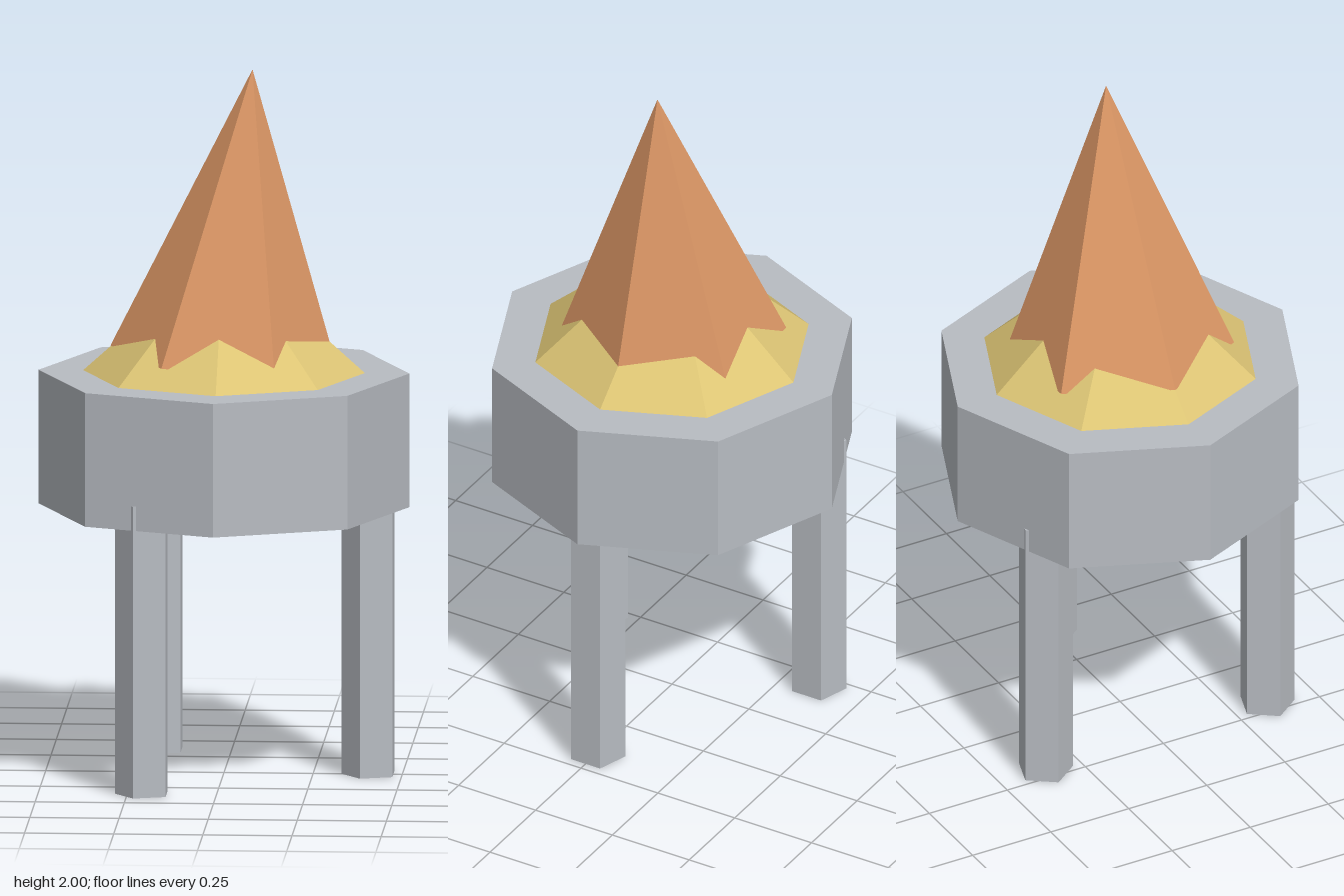
import * as THREE from 'three';

export function createModel() {
  const model = new THREE.Group();
  model.name = 'spikedStool';

  const material = (name, color) => {
    const m = new THREE.MeshStandardMaterial({ color, flatShading: true });
    m.name = name;
    return m;
  };
  const stone = material('greyStone', 0xb8bcc2);
  const sand = material('sandYellow', 0xdcc474);
  const copper = material('copperOrange', 0xd99564);

  const add = (name, geometry, mat, x, y, z) => {
    const mesh = new THREE.Mesh(geometry, mat);
    mesh.name = name;
    mesh.position.set(x, y, z);
    model.add(mesh);
    return mesh;
  };

  // Octagonal drum with corners on the axes
  const bottom = 0.76, top = 1.14;
  add('drum', new THREE.CylinderGeometry(0.52, 0.52, top - bottom, 8), stone, 0, (top + bottom) / 2, 0);

  // Low mound on the drum
  const moundHeight = 0.355;
  add('mound', new THREE.ConeGeometry(0.395, moundHeight, 8), sand, 0, top + moundHeight / 2, 0);

  // Leaning six-sided spike, from the centre of its base to its tip
  const base = new THREE.Vector2(0, 1.18), tip = new THREE.Vector2(0.08, 2);
  const axis = tip.clone().sub(base);
  const spikeGeometry = new THREE.ConeGeometry(0.32, axis.length(), 6).rotateY(Math.PI / 2);
  const spike = add('spike', spikeGeometry, copper, (base.x + tip.x) / 2, (base.y + tip.y) / 2, 0);
  spike.rotation.z = -Math.atan2(axis.x, axis.y);

  // Three five-sided legs, all turned the same way, reaching into the drum
  const legHeight = 0.83, legRing = 0.41;
  const legGeometry = new THREE.CylinderGeometry(0.08, 0.08, legHeight, 5).rotateY(-Math.PI / 2);
  for (let i = 0; i < 3; i++) {
    const a = (i * Math.PI * 2) / 3;
    add('leg' + (i + 1), legGeometry, stone, legRing * Math.cos(a), legHeight / 2, legRing * Math.sin(a));
  }

  return model;
}
